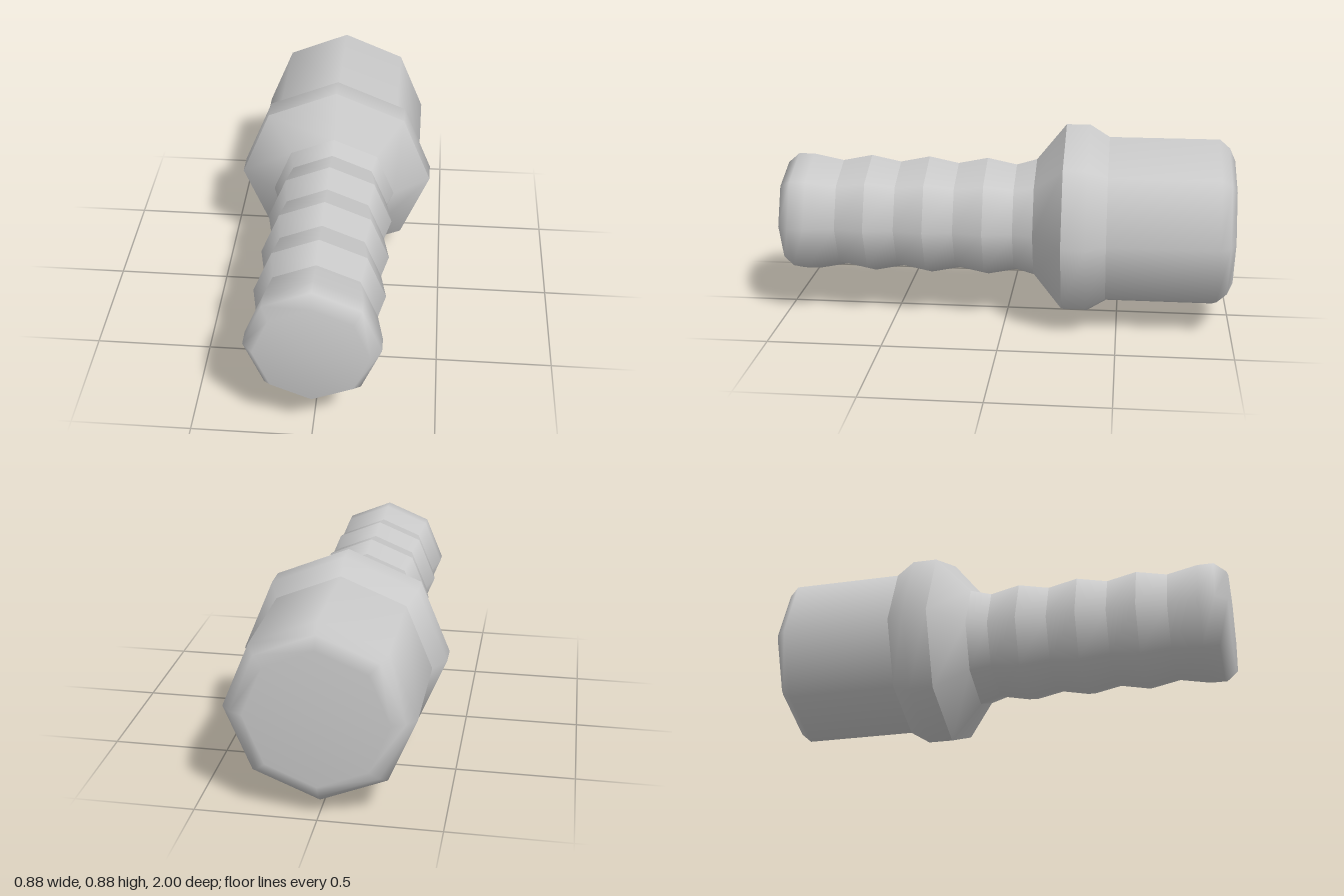
import * as THREE from 'three';

const SIDES = 8;
const AXIS_Y = 0.44;

// One smooth band of the octagonal body, from [radius, z] pairs ordered back to front
function band(name, profile) {
  const points = profile.map(([r, z]) => new THREE.Vector2(r, z));
  const mesh = new THREE.Mesh(
    new THREE.LatheGeometry(points, SIDES),
    new THREE.MeshStandardMaterial({ color: 0xcccccc })
  );
  mesh.name = name;
  return mesh;
}

export function createModel() {
  const model = new THREE.Group();
  model.name = 'hoseFitting';

  // Lathe axis laid along z, at the height of the widest collar
  const body = new THREE.Group();
  body.name = 'body';
  body.rotation.x = Math.PI / 2;
  body.position.y = AXIS_Y;
  model.add(body);

  // Wide rear sleeve with rounded closed end
  body.add(band('sleeve', [[0, -1], [0.29, -1], [0.345, -0.975], [0.384, -0.93], [0.384, -0.45]]));

  // Collar: rear bevel, rim and front cone
  body.add(band('collarRim', [[0.384, -0.45], [0.4375, -0.365], [0.4375, -0.26]]));
  body.add(band('collarCone', [[0.4375, -0.26], [0.275, -0.13]]));

  // Ribbed stem: alternating ridges and grooves with crisp edges
  const ridge = 0.275, groove = 0.248, start = -0.04, step = 0.131;
  body.add(band('stemNeck', [[ridge, -0.13], [groove, start]]));
  for (let i = 0; i < 6; i++) {
    const z = start + i * step;
    const [a, b] = i % 2 ? [ridge, groove] : [groove, ridge];
    body.add(band('stemRib' + (i + 1), [[a, z], [b, z + step]]));
  }

  // Rounded front tip
  body.add(band('stemTip', [[groove, start + 6 * step], [ridge, 0.88], [ridge, 0.95], [0.232, 1], [0, 1]]));

  return model;
}
